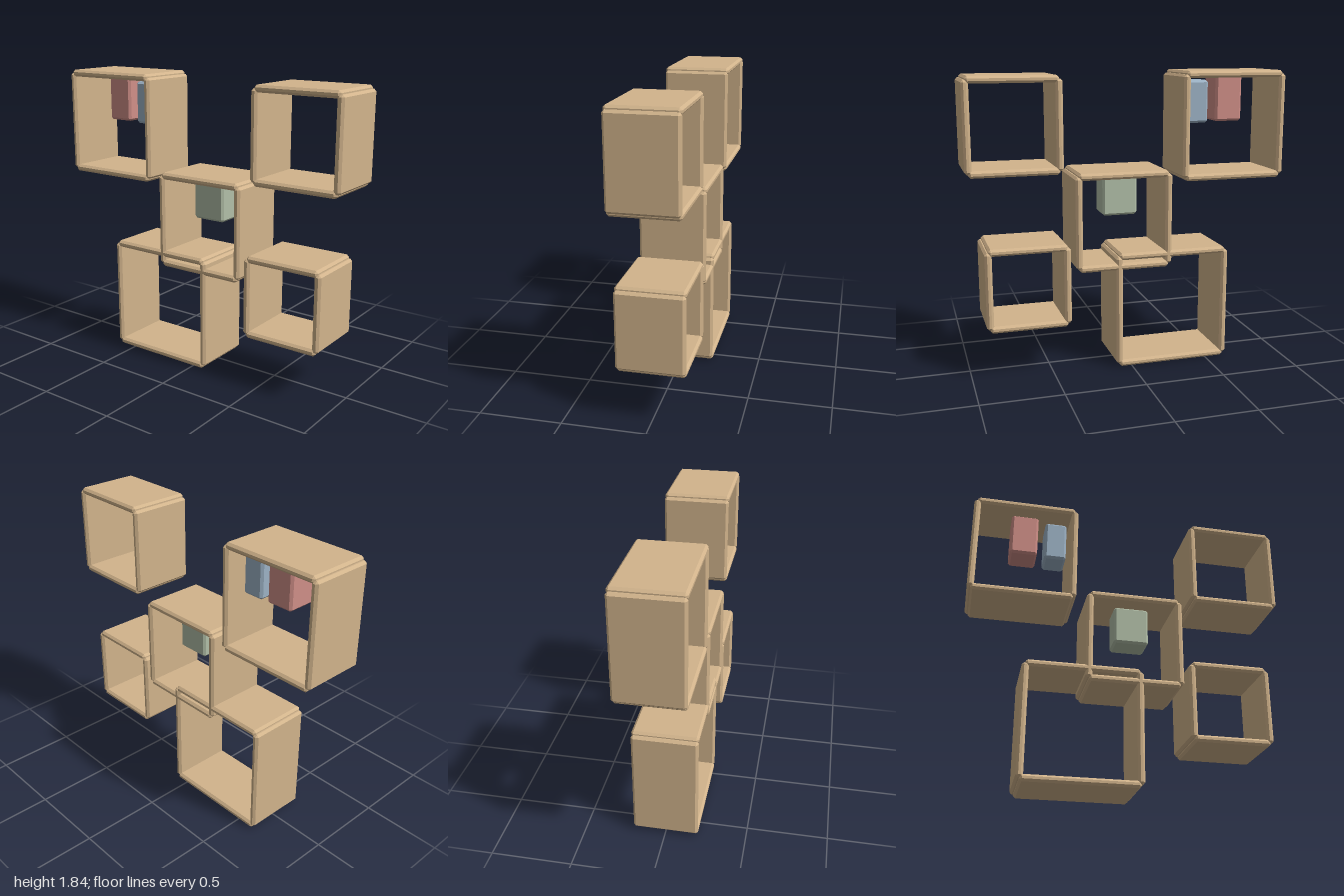
import * as THREE from 'three';
import { ConvexGeometry } from 'three/addons/geometries/ConvexGeometry.js';

const BOARD = 0.043, DEPTH = 0.405, BEVEL = 0.014;

// Box with every edge chamfered: each corner becomes three points
function chamferBox(w, h, d, c) {
  const points = [];
  for (const x of [-1, 1]) for (const y of [-1, 1]) for (const z of [-1, 1]) {
    const [X, Y, Z] = [w / 2, h / 2, d / 2];
    points.push(
      new THREE.Vector3(x * X, y * (Y - c), z * (Z - c)),
      new THREE.Vector3(x * (X - c), y * Y, z * (Z - c)),
      new THREE.Vector3(x * (X - c), y * (Y - c), z * Z));
  }
  return new ConvexGeometry(points);
}

function addBox(parent, name, material, [w, h, d], [x, y, z]) {
  const mesh = new THREE.Mesh(chamferBox(w, h, d, BEVEL), material);
  mesh.name = name;
  mesh.position.set(x, y, z);
  parent.add(mesh);
}

// Open square cube shelf; boards meet on their centre lines
function cubeShelf(name, material, x, y, outer) {
  const shelf = new THREE.Group();
  shelf.name = name;
  shelf.position.set(x, y, 0);
  const span = outer - BOARD;
  for (const s of [-1, 1]) {
    addBox(shelf, s > 0 ? 'topBoard' : 'bottomBoard', material, [span, BOARD, DEPTH], [0, s * span / 2, 0]);
    addBox(shelf, s > 0 ? 'leftBoard' : 'rightBoard', material, [BOARD, span, DEPTH], [s * span / 2, 0, 0]);
  }
  return shelf;
}

export function createModel() {
  const model = new THREE.Group();
  model.name = 'cubeShelves';
  const paint = (color) => new THREE.MeshStandardMaterial({ color, flatShading: true });

  // Five shelves: name, centre x, centre y, outer size
  const wood = paint(0xd2b48c);
  for (const [name, x, y, size] of [
    ['upperRightShelf', -0.663, 1.508, 0.673],
    ['upperLeftShelf', 0.71, 1.54, 0.58],
    ['middleShelf', 0.047, 0.942, 0.612],
    ['lowerRightShelf', -0.27, 0.37, 0.74],
    ['lowerLeftShelf', 0.645, 0.563, 0.52],
  ]) model.add(cubeShelf(name, wood, x, y, size));

  // Small coloured blocks inside the shelves
  addBox(model, 'redBlock', paint(0xd08f88), [0.175, 0.285, 0.19], [-0.662, 1.67, 0]);
  addBox(model, 'blueBlock', paint(0x9db3c6), [0.14, 0.265, 0.175], [-0.457, 1.652, 0]);
  addBox(model, 'greenBlock', paint(0xb2bfa8), [0.22, 0.25, 0.175], [0.047, 1.085, 0]);
  return model;
}
